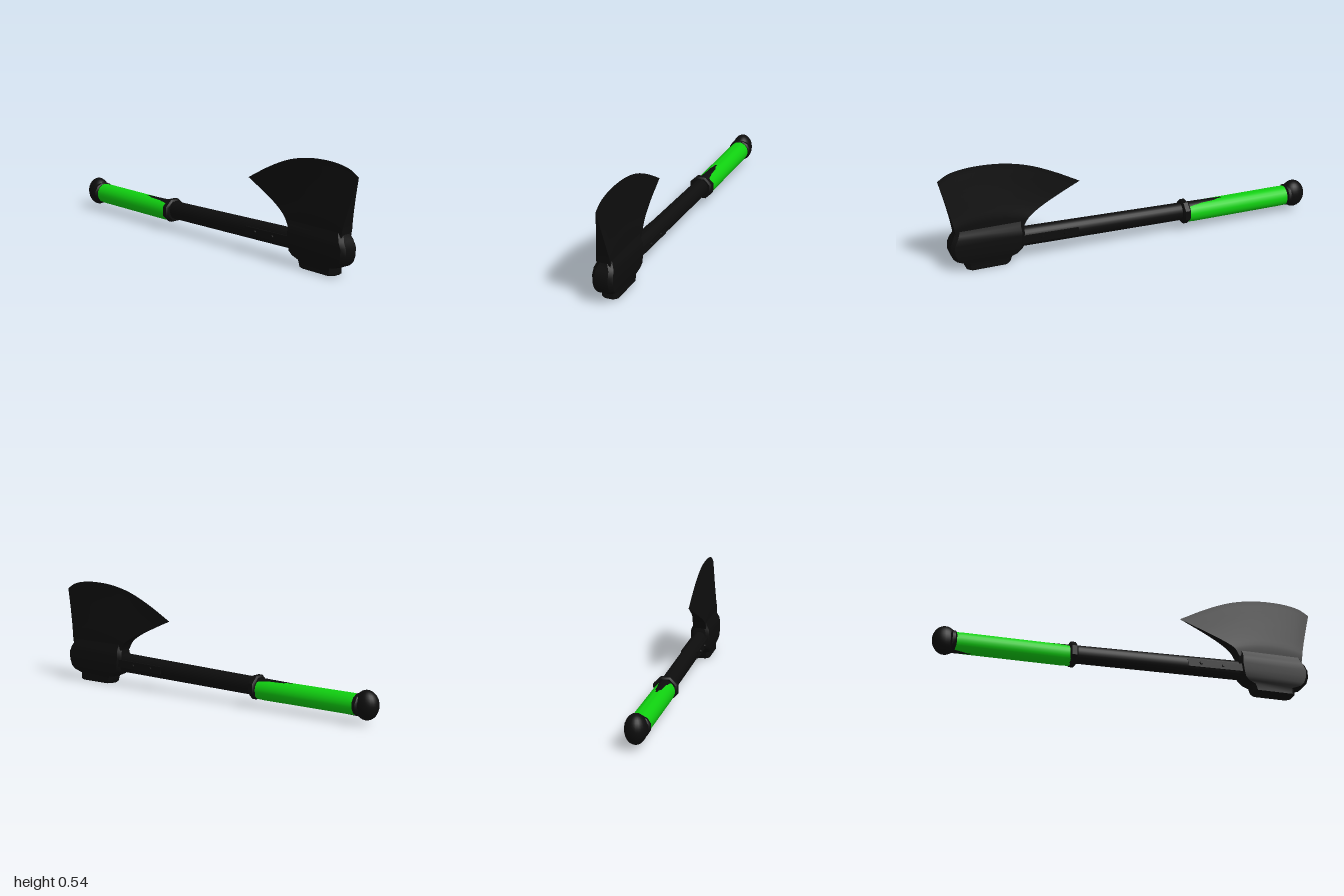
import * as THREE from 'three';
import { toCreasedNormals } from 'three/addons/utils/BufferGeometryUtils.js';

const black = new THREE.MeshStandardMaterial({ color: 0x0d0d0d });
black.name = 'black';
const green = new THREE.MeshStandardMaterial({ color: 0x10d010 });
green.name = 'green';

// Skin closed rings of [x, y, z] points and cap both ends.
function loft(rings, crease = 0.6) {
  const n = rings[0].length, tris = [];
  const tri = (a, b, c) => tris.push([a, b, c]);
  for (let i = 0; i < rings.length - 1; i++) {
    for (let j = 0; j < n; j++) {
      const k = (j + 1) % n, a = rings[i], b = rings[i + 1];
      tri(a[j], a[k], b[k]);
      tri(a[j], b[k], b[j]);
    }
  }
  for (const [ring, flip] of [[rings[0], true], [rings[rings.length - 1], false]]) {
    const mid = [0, 1, 2].map((d) => ring.reduce((s, p) => s + p[d], 0) / n);
    ring.forEach((p, j) => {
      const q = ring[(j + 1) % n];
      flip ? tri(mid, q, p) : tri(mid, p, q);
    });
  }
  // Turn the surface outwards if its volume is negative
  const v = tris.map((t) => t.map((p) => new THREE.Vector3(...p)));
  const volume = v.reduce((s, [a, b, c]) => s + a.dot(b.clone().cross(c)), 0);
  if (volume < 0) v.forEach((t) => t.reverse());
  const geo = new THREE.BufferGeometry().setFromPoints(v.flat());
  return toCreasedNormals(geo, crease);
}

// Elliptical sections along z: [z, centre y, radius x, radius y]
function rod(sections, sides = 24) {
  return loft(sections.map(([z, cy, rx, ry]) =>
    Array.from({ length: sides }, (_, i) => {
      const a = ((i + 0.5) / sides) * Math.PI * 2;
      return [rx * Math.cos(a), cy + ry * Math.sin(a), z];
    })), 0.7);
}

// Chamfered rectangular section at height y
function block(y, front, back, hx) {
  const c = 0.018;
  return [
    [hx, y, back + c], [hx, y, front - c], [hx - c, y, front], [c - hx, y, front],
    [-hx, y, front - c], [-hx, y, back + c], [c - hx, y, back], [hx - c, y, back],
  ];
}

// Blade rings: a curved patch in (z, y), tapering from a thick root to the edge
function bladeRings() {
  const curve = (pts) => new THREE.CatmullRomCurve3(pts.map(([z, y]) => new THREE.Vector3(0, y, z)));
  const edge = curve([[1, 0.49], [0.95, 0.519], [0.88, 0.535], [0.8, 0.54], [0.68, 0.533],
    [0.55, 0.504], [0.42, 0.45], [0.275, 0.373]]);
  const root = curve([[0.93, 0.19], [0.76, 0.19], [0.585, 0.19]]);
  const front = curve([[0.93, 0.19], [0.942, 0.26], [0.968, 0.37], [1, 0.49]]);
  const back = curve([[0.585, 0.19], [0.56, 0.232], [0.5, 0.272], [0.41, 0.315], [0.275, 0.373]]);
  const U = 28, V = 14, rings = [];
  const corner = (c, t) => c.getPoint(t);
  for (let i = 0; i <= V; i++) {
    const v = i / V, f = front.getPoint(v), b = back.getPoint(v), row = [];
    for (let j = 0; j <= U; j++) {
      const u = j / U, r = root.getPoint(u), e = edge.getPoint(u);
      const p = r.multiplyScalar(1 - v).addScaledVector(e, v)
        .addScaledVector(f, 1 - u).addScaledVector(b, u)
        .addScaledVector(corner(root, 0), -(1 - u) * (1 - v))
        .addScaledVector(corner(root, 1), -u * (1 - v))
        .addScaledVector(corner(edge, 0), -(1 - u) * v)
        .addScaledVector(corner(edge, 1), -u * v);
      row.push(p);
    }
    const hx = 0.034 * Math.min(1, (1 - v) / 0.75) + 0.0003;
    rings.push([
      ...row.map((p) => [hx, p.y, p.z]),
      ...row.slice().reverse().map((p) => [-hx, p.y, p.z]),
    ]);
  }
  return rings;
}

export function createModel() {
  const axe = new THREE.Group();
  axe.name = 'axe';
  const add = (name, geo, mat = black) => {
    const mesh = new THREE.Mesh(geo, mat);
    mesh.name = name;
    axe.add(mesh);
    return mesh;
  };

  // Head: blade above a stepped socket and hammer foot
  add('blade', loft(bladeRings()));
  add('headSocket', loft([
    block(0, 0.875, 0.668, 0.036),
    block(0.008, 0.884, 0.658, 0.043),
    block(0.04, 0.884, 0.647, 0.043),
    block(0.056, 0.93, 0.61, 0.048),
    block(0.075, 0.95, 0.592, 0.051),
    block(0.11, 0.962, 0.585, 0.052),
    block(0.15, 0.962, 0.58, 0.052),
    block(0.18, 0.948, 0.582, 0.05),
    block(0.2, 0.937, 0.584, 0.041),
    block(0.222, 0.93, 0.58, 0.034),
  ]));

  // Shaft, whose core breaks through the grip at its top and underside
  add('shaft', rod([
    [0.65, 0.123, 0.04, 0.052],
    [-0.3, 0.102, 0.04, 0.047],
    [-0.56, 0.0935, 0.038, 0.0485],
    [-0.9, 0.083, 0.036, 0.05],
  ]));

  // Side straps and rivets below the head
  for (const side of [1, -1]) {
    const strap = add('sideStrap', new THREE.BoxGeometry(0.012, 0.04, 0.31));
    strap.position.set(side * 0.039, 0.119, 0.455);
    strap.rotation.x = -0.022;
    for (const z of [0.37, 0.49]) {
      const rivet = add('rivet', new THREE.CylinderGeometry(0.008, 0.01, 0.02, 12));
      rivet.rotation.z = -side * Math.PI / 2;
      rivet.position.set(side * 0.043, 0.119, z);
    }
  }

  // Grip with collar
  add('grip', rod([
    [-0.31, 0.091, 0.05, 0.051],
    [-0.35, 0.091, 0.052, 0.053],
    [-0.6, 0.09, 0.052, 0.053],
    [-0.86, 0.089, 0.052, 0.053],
    [-0.89, 0.089, 0.05, 0.051],
  ]), green);
  add('collar', rod([
    [-0.278, 0.1, 0.056, 0.055],
    [-0.286, 0.1, 0.066, 0.064],
    [-0.31, 0.1, 0.066, 0.064],
    [-0.318, 0.1, 0.056, 0.055],
  ], 8));

  // Pommel
  add('pommelRing', rod([
    [-0.885, 0.092, 0.054, 0.05],
    [-0.892, 0.092, 0.062, 0.056],
    [-0.908, 0.092, 0.062, 0.056],
    [-0.915, 0.092, 0.054, 0.05],
  ], 12));
  const pommel = add('pommel', new THREE.SphereGeometry(1, 24, 16));
  pommel.scale.set(0.053, 0.073, 0.062);
  pommel.position.set(0, 0.093, -0.938);

  return axe;
}
